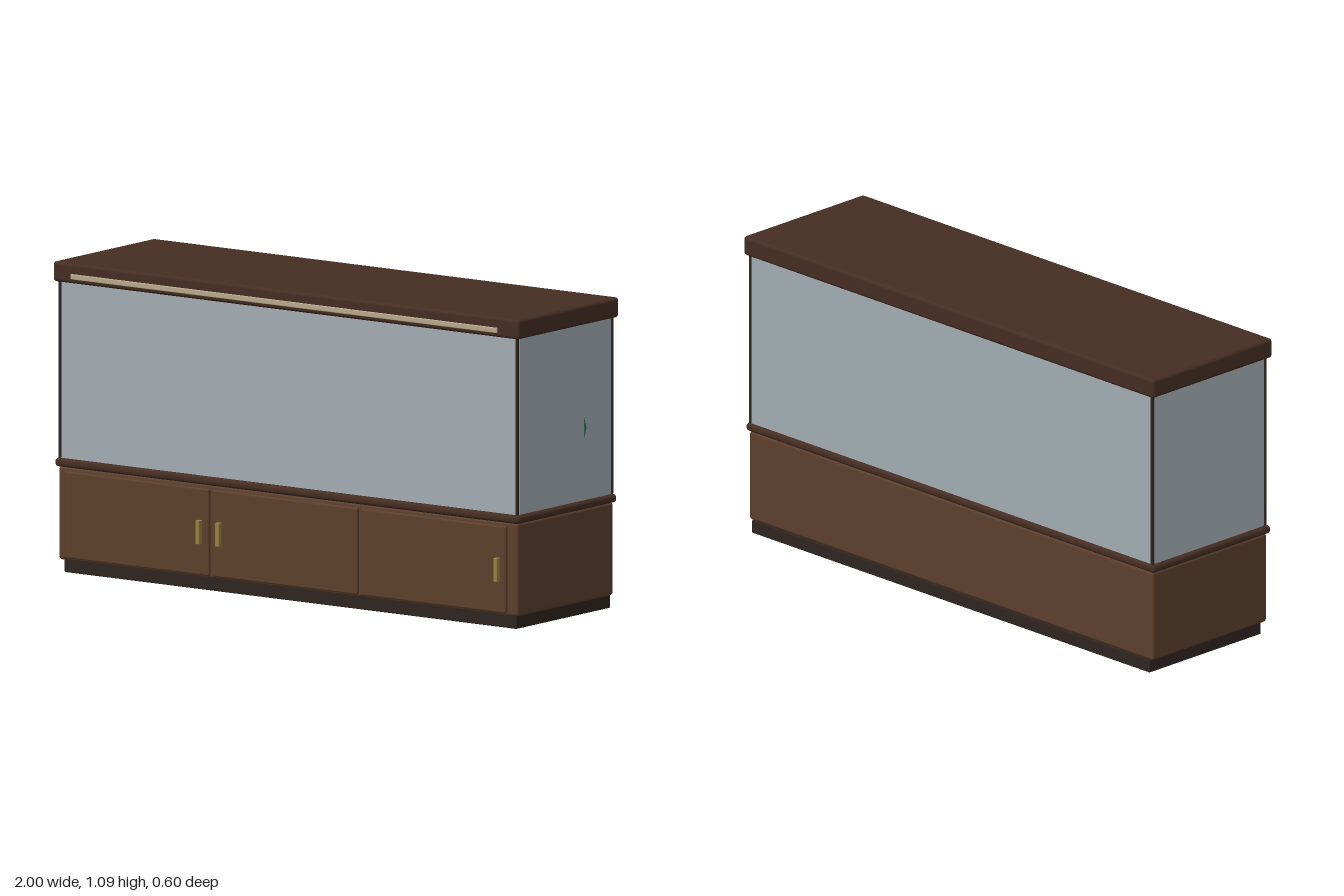
import * as THREE from 'three';
import { RoundedBoxGeometry } from 'three/addons/geometries/RoundedBoxGeometry.js';
import { ConvexGeometry } from 'three/addons/geometries/ConvexGeometry.js';

const material = (color) => new THREE.MeshStandardMaterial({ color });

export function createModel() {
  const model = new THREE.Group();
  const wood = material(0x5c3f2c);
  const darkWood = material(0x452d22);
  const baseWood = material(0x2e2420);
  const glass = material(0xa2acb2);
  const brass = material(0x9a8040);

  // Box given by its [min, max] extents; radius 0 keeps sharp edges
  function box(name, mat, [x0, x1], [y0, y1], [z0, z1], radius = 0) {
    const size = [x1 - x0, y1 - y0, z1 - z0];
    const geometry = radius
      ? new RoundedBoxGeometry(...size, 3, radius)
      : new THREE.BoxGeometry(...size);
    const mesh = new THREE.Mesh(geometry, mat);
    mesh.name = name;
    mesh.position.set((x0 + x1) / 2, (y0 + y1) / 2, (z0 + z1) / 2);
    model.add(mesh);
    return mesh;
  }

  // Cabinet
  box('plinth', baseWood, [-0.97, 0.97], [0, 0.046], [-0.285, 0.256], 0.003);
  box('cabinet', wood, [-0.985, 0.985], [0.045, 0.372], [-0.285, 0.272], 0.012);
  box('cabinetTop', darkWood, [-0.996, 0.996], [0.37, 0.4], [-0.292, 0.282], 0.013);

  // Three doors, each with an upright pull
  const doors = [
    { x: -0.642, handle: -0.367 },
    { x: -0.005, handle: -0.282 },
    { x: 0.632, handle: 0.912 },
  ];
  for (const { x, handle } of doors) {
    box('door', wood, [x - 0.311, x + 0.311], [0.055, 0.358], [0.262, 0.284], 0.006);
    box('handle', brass, [handle - 0.008, handle + 0.008], [0.164, 0.248], [0.28, 0.302], 0.003);
  }

  // Tank: floor, four panes, dark corner posts
  const tankY = [0.4, 1.018];
  box('tankFloor', baseWood, [-0.975, 0.975], [0.395, 0.42], [-0.275, 0.26]);
  box('frontPane', glass, [-0.98, 0.98], tankY, [0.255, 0.267]);
  box('backPane', glass, [-0.98, 0.98], tankY, [-0.282, -0.27]);
  for (const s of [-1, 1]) {
    box('sidePane', glass, [s * 0.976 - 0.006, s * 0.976 + 0.006], tankY, [-0.27, 0.255]);
    for (const z of [-0.2805, 0.2655]) {
      box('cornerPost', baseWood, [s * 0.98 - 0.005, s * 0.98 + 0.005], tankY, [z - 0.005, z + 0.005], 0.002);
    }
  }

  // Plant leaf whose edge just shows at the left pane
  const leaf = new THREE.Mesh(
    new ConvexGeometry([
      new THREE.Vector3(0.979, 0.598, -0.116),
      new THREE.Vector3(0.979, 0.712, -0.116),
      new THREE.Vector3(0.981, 0.65, -0.133),
      new THREE.Vector3(0.988, 0.65, -0.12),
      new THREE.Vector3(0.94, 0.62, -0.122),
    ]),
    new THREE.MeshStandardMaterial({ color: 0x1f5a38, flatShading: true })
  );
  leaf.name = 'plantLeaf';
  model.add(leaf);

  // Lid with the light strip along its front
  box('lid', darkWood, [-1, 1], [1.016, 1.086], [-0.298, 0.285], 0.012);
  box('lightStrip', material(0xb8a88c), [-0.92, 0.91], [1.031, 1.05], [0.275, 0.289], 0.003);

  return model;
}
